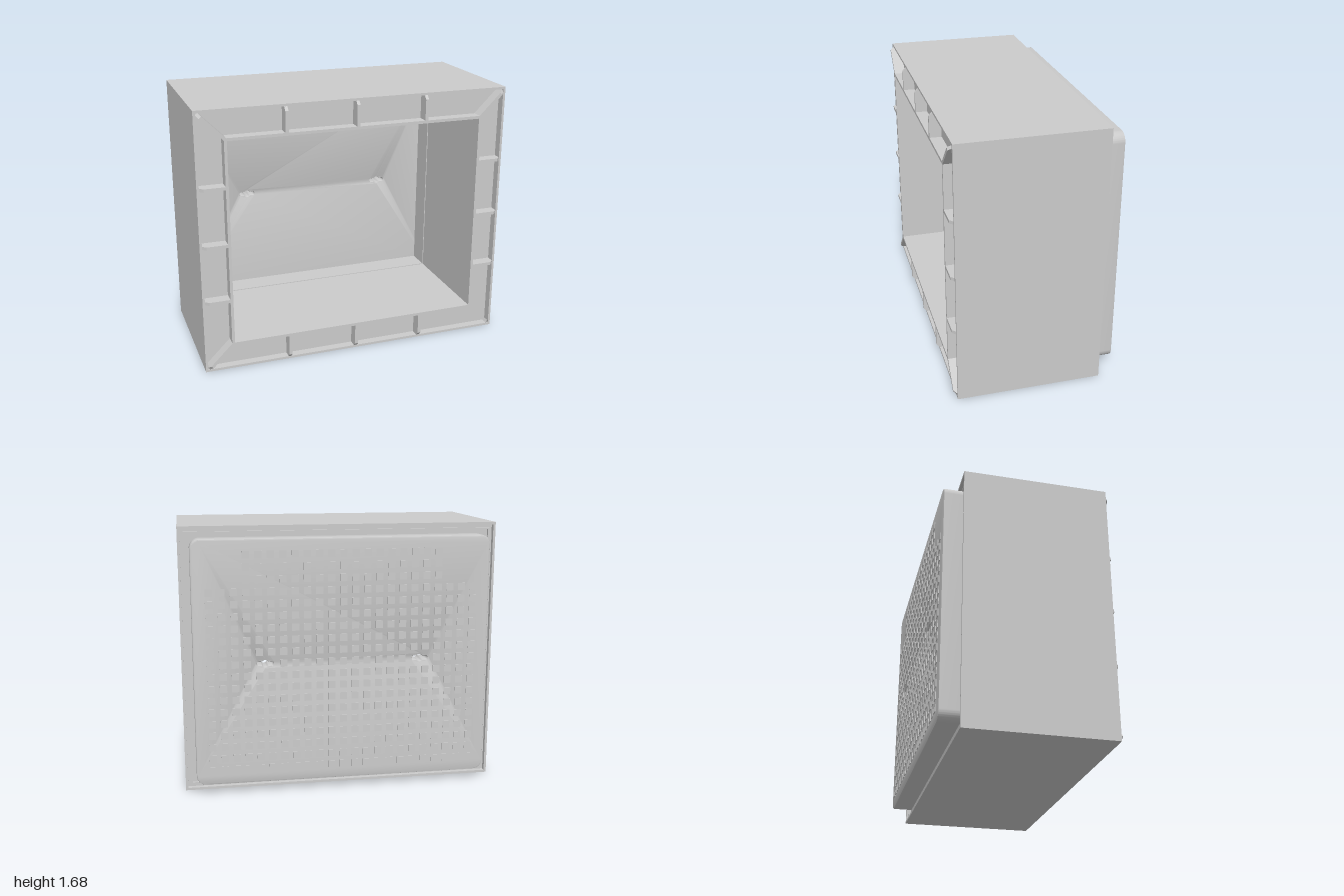
import * as THREE from 'three';
import { mergeGeometries, toCreasedNormals } from 'three/addons/utils/BufferGeometryUtils.js';

const CY = 0.84; // mid height of the housing
const material = new THREE.MeshStandardMaterial({ color: 0xcccccc });

// Rectangle outline with half sizes w, h and optional corner radius r
function rect(w, h, r = 0, Type = THREE.Shape) {
  const s = new Type();
  if (!r) {
    return s.moveTo(-w, -h).lineTo(w, -h).lineTo(w, h).lineTo(-w, h).closePath();
  }
  s.absarc(w - r, -h + r, r, -Math.PI / 2, 0);
  s.absarc(w - r, h - r, r, 0, Math.PI / 2);
  s.absarc(-w + r, h - r, r, Math.PI / 2, Math.PI);
  s.absarc(-w + r, -h + r, r, Math.PI, Math.PI * 1.5);
  return s.closePath();
}

// Mounting hole: a round centre with a short slot on each side
function slotHole(x) {
  const p = new THREE.Path(), r = 0.022, t = 0.012, e = 0.04;
  const a = Math.asin(t / r);
  p.absarc(x + e, 0, t, -Math.PI / 2, Math.PI / 2);
  p.absarc(x, 0, r, a, Math.PI - a);
  p.absarc(x - e, 0, t, Math.PI / 2, Math.PI * 1.5);
  p.absarc(x, 0, r, Math.PI + a, Math.PI * 2 - a);
  return p.closePath();
}

// Extrude a shape from z0 to z1, with an optional small bevel
function slab(shape, z0, z1, bevel = 0) {
  const g = new THREE.ExtrudeGeometry(shape, {
    depth: z1 - z0 - 2 * bevel, curveSegments: 8, bevelEnabled: bevel > 0,
    bevelSize: bevel, bevelThickness: bevel, bevelOffset: -bevel, bevelSegments: 2
  });
  return g.translate(0, CY, z0 + bevel);
}

// Rectangular frame between two outlines
function ring(w, h, iw, ih, z0, z1) {
  const s = rect(w, h);
  s.holes.push(rect(iw, ih, 0, THREE.Path));
  return slab(s, z0, z1);
}

// Rib of a given length, its outer end chamfered, running outward along angle
function rib(x, y, length, angle) {
  const s = new THREE.Shape();
  s.moveTo(0, 0.445).lineTo(length, 0.445).lineTo(length, 0.5)
    .lineTo(length - 0.025, 0.524).lineTo(0, 0.524).closePath();
  const g = new THREE.ExtrudeGeometry(s, { depth: 0.02, bevelEnabled: false });
  return g.translate(0, 0, -0.01).rotateX(Math.PI / 2).rotateZ(angle).translate(x, CY + y, 0);
}

export function createModel() {
  const group = new THREE.Group();
  const add = (name, geometry) => {
    const mesh = new THREE.Mesh(geometry, material);
    mesh.name = name;
    group.add(mesh);
  };

  // Thin outer shell with the floors of the front pocket and rear recess
  add('outerShell', ring(1, 0.84, 0.985, 0.825, -0.41, 0.503));
  add('frontPocketFloor', ring(0.986, 0.826, 0.825, 0.66, 0.43, 0.45));
  add('rearRecessFloor', ring(0.986, 0.826, 0.825, 0.66, -0.38, -0.36));
  add('rearCollar', ring(0.965, 0.805, 0.955, 0.795, -0.395, -0.375));

  // Inner sleeve: sections whose openings differ slightly
  const sections = [
    [0.524, 0.2, 0.812, 0.652], [0.2, -0.13, 0.816, 0.656],
    [-0.13, -0.23, 0.82, 0.66], [-0.23, -0.4, 0.815, 0.655]
  ];
  add('innerSleeve', mergeGeometries(
    sections.map(([z1, z0, w, h]) => ring(0.83, 0.67, w, h, z0, z1))));

  // Straight and diagonal ribs across the front pocket
  const ribs = [];
  for (const side of [-1, 1]) {
    for (const x of [-0.45, 0, 0.45]) ribs.push(rib(x, side * 0.665, 0.162, side * Math.PI / 2));
    for (const y of [-0.365, 0, 0.365]) ribs.push(rib(side * 0.825, y, 0.162, side > 0 ? 0 : Math.PI));
    for (const up of [-1, 1]) {
      ribs.push(rib(side * 0.82, up * 0.66, 0.225, Math.atan2(up * 0.157, side * 0.157)));
    }
  }
  add('frontRibs', mergeGeometries(ribs));

  // Rounded back plate with two mounting holes
  const plate = rect(0.93, 0.77, 0.06);
  plate.holes.push(slotHole(-0.49), slotHole(0.49));
  add('backPlate', toCreasedNormals(slab(plate, -0.52, -0.385, 0.008), 0.6));

  // Grid of grip pads, narrower in the top three rows
  const pads = [], pitch = 0.075;
  for (let row = -9; row <= 9; row++) {
    const n = row > 6 ? 8 : 11;
    for (let col = -n; col <= n; col++) {
      const x = col * pitch;
      if (row === 0 && Math.abs(Math.abs(x) - 0.49) < 0.07) continue;
      pads.push(new THREE.BoxGeometry(0.045, 0.045, 0.008).translate(x, CY + row * pitch, -0.521));
    }
  }
  add('gripPads', mergeGeometries(pads));

  return group;
}
